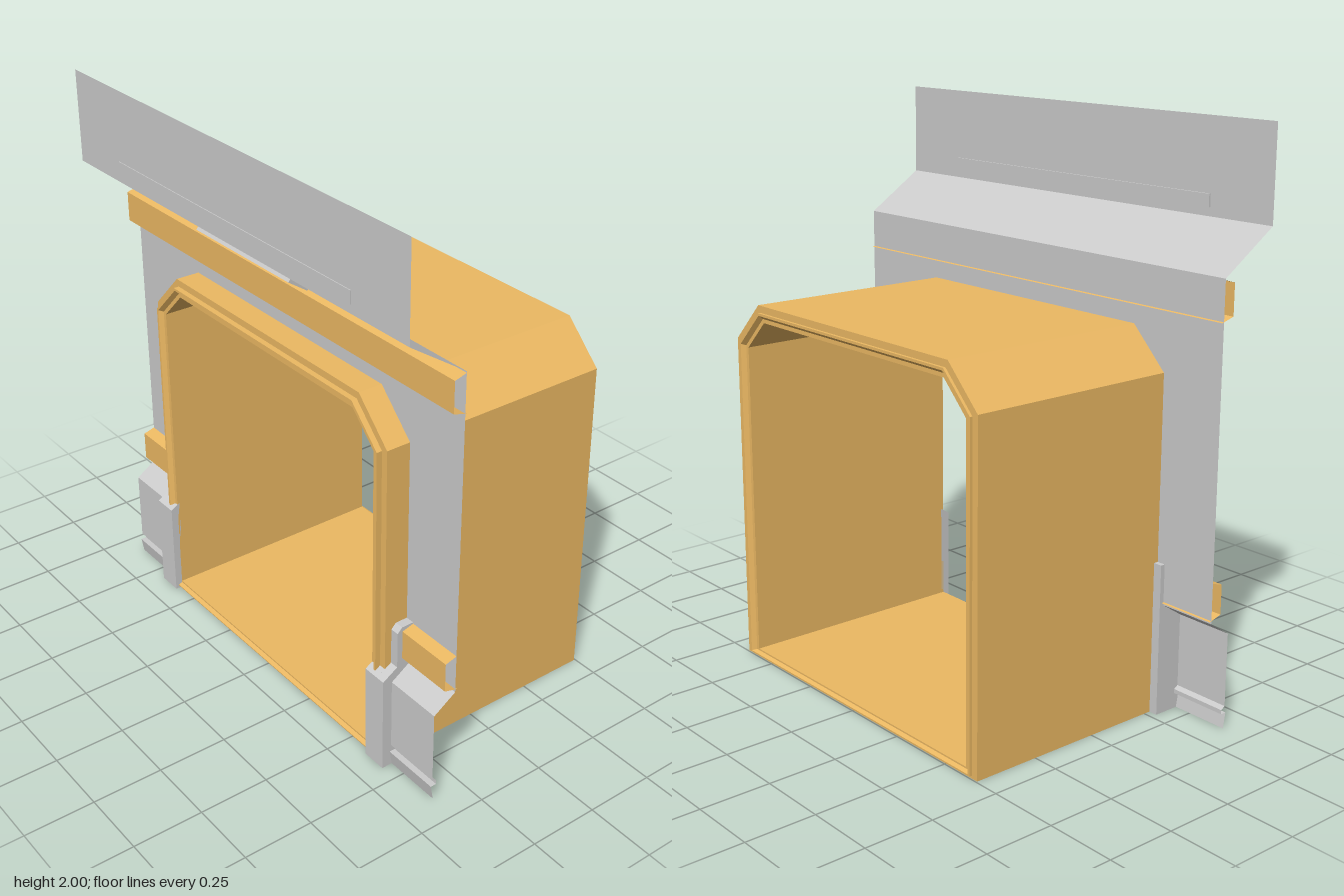
import * as THREE from 'three';

const grey = new THREE.MeshStandardMaterial({ color: 0xcccccc, side: THREE.DoubleSide, flatShading: true });
const ochre = new THREE.MeshStandardMaterial({ color: 0xecb963, side: THREE.DoubleSide, flatShading: true });

const WALL_Z = 0.292;
const HALF = 0.9;

function add(parent, name, geometry, material) {
  const mesh = new THREE.Mesh(geometry, material);
  mesh.name = name;
  parent.add(mesh);
  return mesh;
}

function fromTriangles(positions) {
  const g = new THREE.BufferGeometry();
  g.setAttribute('position', new THREE.Float32BufferAttribute(positions, 3));
  g.computeVertexNormals();
  return g;
}

// Open sheet: a [z, y] profile, listed top to bottom, drawn out along x
function sheet(profile, x0, x1) {
  const pos = [];
  for (let i = 0; i < profile.length - 1; i++) {
    const [z0, y0] = profile[i], [z1, y1] = profile[i + 1];
    pos.push(x0, y0, z0, x0, y1, z1, x1, y1, z1);
    pos.push(x0, y0, z0, x1, y1, z1, x1, y0, z0);
  }
  return fromTriangles(pos);
}

// Solid block: a [z, y] outline extruded from x0 to x1
function block(outline, x0, x1) {
  const shape = new THREE.Shape(outline.map(([z, y]) => new THREE.Vector2(z, y)));
  const g = new THREE.ExtrudeGeometry(shape, { depth: x1 - x0, bevelEnabled: false });
  return g.rotateY(-Math.PI / 2).translate(x1, 0, 0);
}

// Portal outline with chamfered top corners, inset by d, counterclockwise
function archPoints(d) {
  const w = 0.655 - d, top = 1.33 - d, base = d * 0.42;
  const cx = 0.515 - d * 0.414, cy = 1.19 - d * 0.414;
  return [[-w, base], [w, base], [w, cy], [cx, top], [-cx, top], [-w, cy]];
}

// Closed [inset, z] section swept around the portal outline
function sweepArch(section) {
  const pos = [];
  section.forEach(([d0, z0], i) => {
    const [d1, z1] = section[(i + 1) % section.length];
    const a = archPoints(d0), b = archPoints(d1);
    a.forEach((p, j) => {
      const k = (j + 1) % a.length;
      pos.push(...p, z0, ...a[k], z0, ...b[k], z1);
      pos.push(...p, z0, ...b[k], z1, ...b[j], z1);
    });
  });
  return fromTriangles(pos);
}

// Channel moulding profile whose lower edge returns behind the wall
const trimProfile = (bottom, top) => [
  [WALL_Z, top], [0.335, top - 0.012], [0.335, bottom + 0.014], [0.284, bottom],
];

export function createModel() {
  const model = new THREE.Group();

  // Tunnel shell with stepped lips at both ends
  add(model, 'tunnel', sweepArch([
    [0, 0.38], [0.025, 0.38], [0.025, 0.4], [0.034, 0.4], [0.046, 0.385], [0.06, 0.385],
    [0.06, -0.49], [0.046, -0.49], [0.034, -0.505], [0.025, -0.505], [0.025, -0.495], [0, -0.495],
  ]), ochre);

  // Wall around the portal
  const wall = new THREE.Shape([
    [-HALF, 0.395], [-0.65, 0.395], [-0.65, 1.19], [-0.512, 1.327], [0.512, 1.327],
    [0.65, 1.19], [0.65, 0.395], [HALF, 0.395], [HALF, 1.535], [-HALF, 1.535],
  ].map(([x, y]) => new THREE.Vector2(x, y)));
  add(model, 'wall', new THREE.ShapeGeometry(wall).translate(0, 0, WALL_Z), grey);

  // Overhanging header and its sloped underside
  add(model, 'header', sheet([[0.502, 2], [0.502, 1.675], [WALL_Z, 1.535]], -HALF, HALF), grey);
  add(model, 'headerRail', new THREE.BoxGeometry(1.276, 0.044, 0.01).translate(0, 1.727, 0.5), grey);
  add(model, 'upperTrim', sheet(trimProfile(1.396, 1.53), -HALF, HALF), ochre);

  // Framed light under the header
  const light = new THREE.Group();
  light.name = 'headerLight';
  const rect = (Type, w, h) => new Type([[-w, -h], [w, -h], [w, h], [-w, h]].map(([x, y]) => new THREE.Vector2(x, y)));
  const frame = rect(THREE.Shape, 0.257, 0.042);
  frame.holes.push(rect(THREE.Path, 0.235, 0.026));
  add(light, 'lightFrame', new THREE.ExtrudeGeometry(frame, { depth: 0.013, bevelEnabled: false }), grey);
  add(light, 'lightPanel', new THREE.BoxGeometry(0.47, 0.052, 0.006).translate(0, 0, 0.003), grey);
  light.position.set(0, 1.605, 0.407);
  light.rotation.x = 0.982;
  model.add(light);

  // Side pieces: lower trim, plinth and portal feet
  for (const side of [-1, 1]) {
    const label = side > 0 ? 'left' : 'right';
    const span = (a, b) => (side > 0 ? [a, b] : [-b, -a]);

    add(model, label + 'LowerTrim', sheet(trimProfile(0.404, 0.535), ...span(0.685, HALF)), ochre);
    add(model, label + 'Plinth', sheet([
      [WALL_Z, 0.395], [0.376, 0.34], [0.376, 0.08], [0.36, 0.07], [0.36, 0.055], [0.382, 0.055], [0.372, 0],
    ], ...span(0.685, HALF)), grey);
    add(model, label + 'FootOuter', block([
      [0.275, 0], [0.412, 0], [0.412, 0.355], [0.355, 0.39], [0.355, 0.522], [0.337, 0.54], [0.275, 0.54],
    ], ...span(0.654, 0.687)), grey);
    add(model, label + 'FootInner', block([
      [0.375, 0], [0.412, 0], [0.412, 0.355], [0.375, 0.378],
    ], ...span(0.595, 0.654)), grey);
  }

  return model;
}
